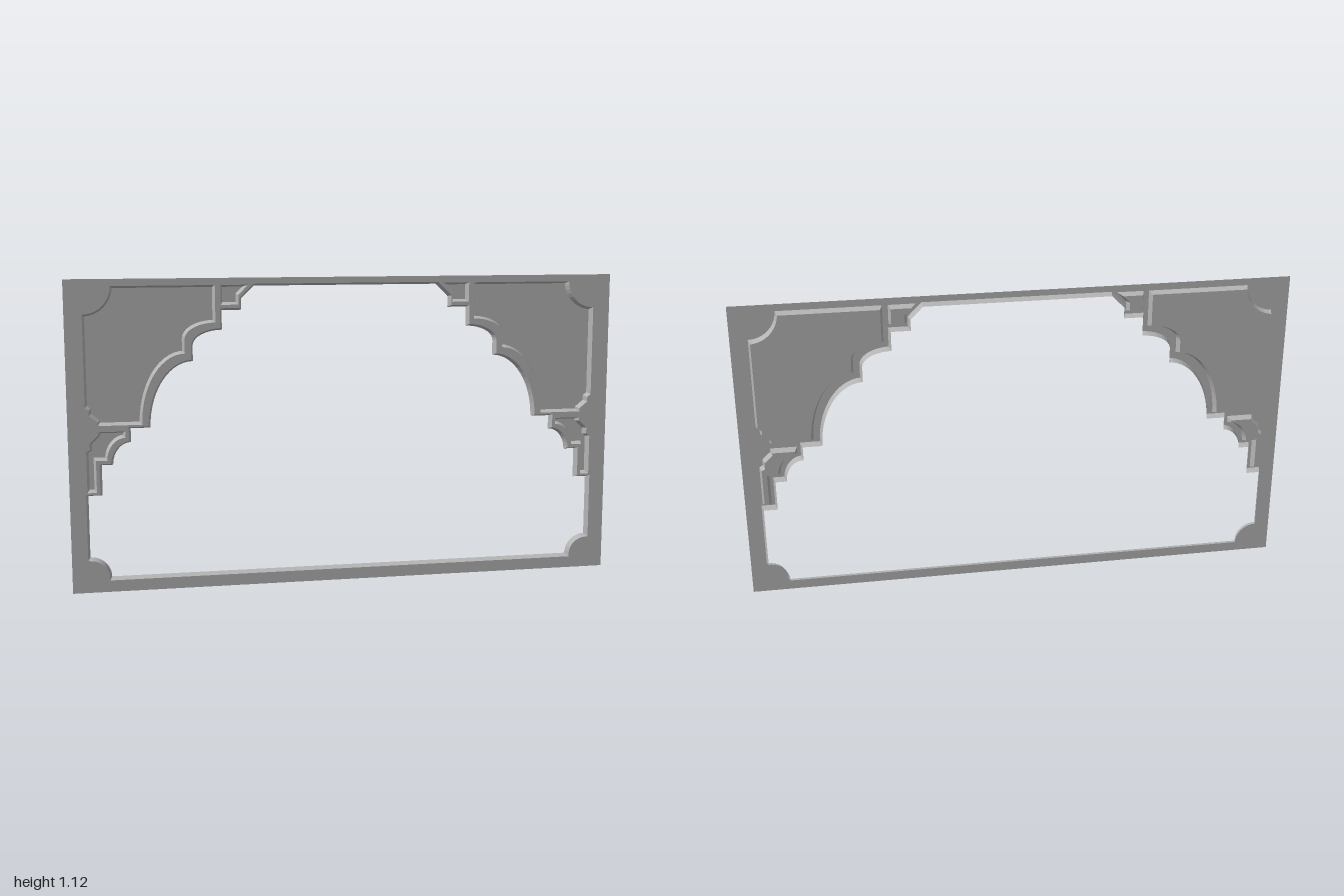
import * as THREE from 'three';

const DEPTH = 0.013; // half the relief depth
const BEVEL = 0.008; // how far each wall leans inward

// Quarter ellipse from angle a to b (degrees), as [x, y] points
function arc(cx, cy, rx, ry, a, b, steps = 10) {
  return Array.from({ length: steps + 1 }, (_, i) => {
    const t = THREE.MathUtils.degToRad(a + ((b - a) * i) / steps);
    return [cx + rx * Math.cos(t), cy + ry * Math.sin(t)];
  });
}

// Counter-clockwise Vector2 loop without repeated neighbours
function loop(points) {
  const v = points.map(([x, y]) => new THREE.Vector2(x, y));
  const clean = v.filter((p, i) => p.distanceTo(v[(i + 1) % v.length]) > 1e-4);
  return THREE.ShapeUtils.isClockWise(clean) ? clean.reverse() : clean;
}

// Mitred offset, positive towards the inside
function inset(pts, d) {
  const n = pts.length;
  const normal = (a, b) => new THREE.Vector2(a.y - b.y, b.x - a.x).normalize();
  return pts.map((p, i) => {
    const n1 = normal(pts[(i + n - 1) % n], p);
    const n2 = normal(p, pts[(i + 1) % n]);
    const k = d / Math.max(0.3, 1 + n1.dot(n2));
    return p.clone().add(n1.add(n2).multiplyScalar(k));
  });
}

// Sloping wall between a front outline and a back outline
function wallGeometry(front, back) {
  const pos = [];
  front.forEach((a, i) => {
    const j = (i + 1) % front.length;
    const b = front[j], c = back[j], d = back[i];
    pos.push(a.x, a.y, DEPTH, b.x, b.y, DEPTH, c.x, c.y, -DEPTH);
    pos.push(a.x, a.y, DEPTH, c.x, c.y, -DEPTH, d.x, d.y, -DEPTH);
  });
  const g = new THREE.BufferGeometry();
  g.setAttribute('position', new THREE.Float32BufferAttribute(pos, 3));
  g.computeVertexNormals();
  return g;
}

// Left half of the arched opening, from the top centre down
const openingHalf = [
  [0.335, 1.09], [0.38, 1.045], [0.38, 1.005], [0.45, 1.005],
  ...arc(0.45, 0.88, 0.105, 0.055, 90, 0),
  ...arc(0.555, 0.59, 0.155, 0.235, 90, 0, 14),
  [0.78, 0.59],
  ...arc(0.78, 0.46, 0.065, 0.08, 90, 0).map(([x, y]) => [x, y]),
  [0.885, 0.46], [0.885, 0.35], [0.935, 0.35],
  ...arc(0.935, 0.05, 0.075, 0.075, 90, 180),
];

// Recessed panels of the left side
const panels = {
  cornerPanel: [
    [0.475, 1.095],
    ...arc(0.938, 1.095, 0.098, 0.098, 180, 270),
    [0.938, 0.67], [0.925, 0.66], [0.925, 0.642], [0.895, 0.617], [0.895, 0.605],
    ...arc(0.585, 0.605, 0.155, 0.25, 0, 90, 14),
    ...arc(0.475, 0.905, 0.11, 0.058, 0, 90),
  ],
  upperBracketPanel: [
    [0.455, 1.095], [0.455, 1.025], [0.392, 1.025], [0.392, 1.06], [0.357, 1.095],
  ],
  lowerBracketPanel: [
    [0.895, 0.583], [0.80, 0.583],
    ...arc(0.80, 0.48, 0.065, 0.08, 90, 0),
    [0.905, 0.48], [0.905, 0.365], [0.938, 0.365],
    [0.938, 0.512], [0.925, 0.52], [0.925, 0.542], [0.895, 0.57],
  ],
};

export function createModel() {
  const model = new THREE.Group();
  model.name = 'archedFrame';
  const grey = new THREE.MeshStandardMaterial({ color: 0xb4b4b4, side: THREE.DoubleSide, flatShading: true });
  grey.name = 'plain grey';

  const add = (name, geometry, z = 0) => {
    const mesh = new THREE.Mesh(geometry, grey);
    mesh.name = name;
    mesh.position.z = z;
    model.add(mesh);
  };
  const mirror = (pts) => pts.map(([x, y]) => [-x, y]);

  // Front sheet outline
  const sheet = new THREE.Shape(loop([[-1, 0], [1, 0], [1, 1.12], [-1, 1.12]]));

  // Central opening with its lip
  const lipBack = loop([...openingHalf, ...mirror(openingHalf).reverse()]);
  const lipFront = inset(lipBack, -BEVEL);
  sheet.holes.push(new THREE.Path(lipFront));
  add('openingLip', wallGeometry(lipFront, lipBack));

  // Recessed panels on both sides
  for (const [side, place] of [['left', (p) => p], ['right', mirror]]) {
    for (const [name, pts] of Object.entries(panels)) {
      const front = loop(place(pts));
      const back = inset(front, BEVEL);
      const label = side + name[0].toUpperCase() + name.slice(1);
      sheet.holes.push(new THREE.Path(front));
      add(label + 'Wall', wallGeometry(front, back));
      add(label, new THREE.ShapeGeometry(new THREE.Shape(back)), -DEPTH);
    }
  }

  add('frontFrame', new THREE.ShapeGeometry(sheet), DEPTH);
  return model;
}
